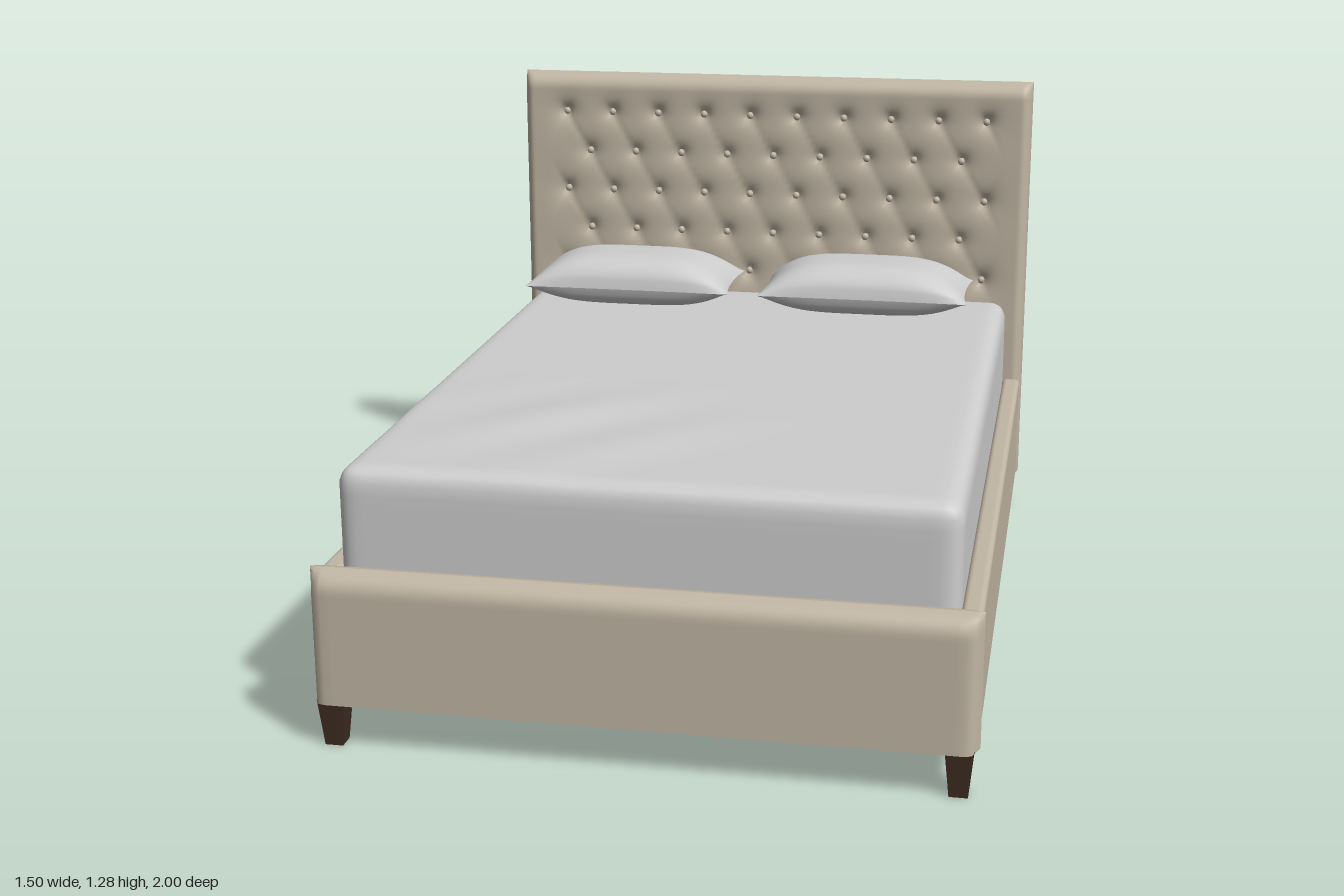
import * as THREE from 'three';
import { mergeVertices } from 'three/addons/utils/BufferGeometryUtils.js';
import { RoundedBoxGeometry } from 'three/addons/geometries/RoundedBoxGeometry.js';

const mat = (name, color, side = THREE.FrontSide) => {
  const m = new THREE.MeshStandardMaterial({ color, side });
  m.name = name;
  return m;
};

// Moves grid lines towards the edges so that rounded rims stay smooth
const warp = (t) => 0.4 * t + 0.6 * Math.sin((t * Math.PI) / 2);

// Moves every vertex by a rule and gives the result smooth normals
function shape(geometry, rule) {
  geometry.deleteAttribute('uv');
  geometry.deleteAttribute('normal');
  const g = mergeVertices(geometry);
  const p = g.attributes.position;
  const v = new THREE.Vector3();
  for (let i = 0; i < p.count; i++) {
    rule(v.fromBufferAttribute(p, i));
    p.setXYZ(i, v.x, v.y, v.z);
  }
  g.computeVertexNormals();
  return g;
}

// Button rows of the tufting
const PITCH = 0.138, ROW = 0.1165, TOP_ROW = 1.165;
const buttons = [];
for (let r = 0; r < 5; r++) {
  const n = r % 2 ? 9 : 10;
  for (let i = 0; i < n; i++) buttons.push([(i - (n - 1) / 2) * PITCH, TOP_ROW - r * ROW]);
}

// Depth of the dimples and the diagonal pleats between them
function tuftDepth(x, y) {
  let d = 0;
  for (const [bx, by] of buttons) d += 0.026 * Math.exp(-Math.hypot(x - bx, y - by) / 0.026);
  const s = (TOP_ROW - y) / ROW / 2;
  const line = (a) => Math.exp(-Math.abs(Math.sin(Math.PI * a)) / 0.2);
  const pleat = line(x / PITCH + s + 0.5) + line(x / PITCH - s + 0.5);
  const inside = THREE.MathUtils.smoothstep(0.68 - Math.abs(x), 0, 0.06)
    * THREE.MathUtils.smoothstep(y, 0.62, 0.7) * THREE.MathUtils.smoothstep(1.21 - y, 0, 0.05);
  return d + 0.004 * pleat * inside;
}

// One padded half of a board, rolled over at the top and sides
function boardFace(width, y0, y1, half, nx, ny, depth = () => 0) {
  const roll = (d, r) => (d >= r ? 1 : Math.sqrt(Math.max(0, 1 - ((r - d) / r) ** 2)));
  return shape(new THREE.PlaneGeometry(2, 2, nx, ny), (v) => {
    v.x = (warp(v.x) * width) / 2;
    v.y = y0 + ((warp(v.y) + 1) / 2) * (y1 - y0);
    v.z = half * roll(width / 2 - Math.abs(v.x), 0.03) * roll(y1 - v.y, 0.048) - depth(v.x, v.y);
  });
}

export function createModel() {
  const bed = new THREE.Group();
  bed.name = 'bed';
  const fabric = mat('beige upholstery', 0xc1b6a4);
  const linen = mat('light grey bedding', 0xcdcdcd);
  const wood = mat('dark wood', 0x402d23);
  const slatWood = mat('slat wood', 0x231a14);

  const add = (name, geometry, material, x = 0, y = 0, z = 0, parent = bed) => {
    const m = new THREE.Mesh(geometry, material);
    m.name = name;
    m.position.set(x, y, z);
    parent.add(m);
    return m;
  };
  const group = (name) => {
    const g = new THREE.Group();
    g.name = name;
    bed.add(g);
    return g;
  };

  // Headboard: tufted front, plain back, flat underside
  const head = group('headboard');
  add('tuftedFront', boardFace(1.5, 0.11, 1.28, 0.048, 170, 140, tuftDepth), fabric, 0, 0, -0.95, head);
  add('headboardBack', boardFace(1.5, 0.11, 1.28, 0.05, 40, 40), fabric, 0, 0, -0.95, head)
    .rotation.y = Math.PI;
  add('headboardBase', new THREE.BoxGeometry(1.45, 0.02, 0.09), fabric, 0, 0.12, -0.95, head);
  for (const [x, y] of buttons) {
    add('button', new THREE.SphereGeometry(0.011, 10, 8), fabric, x, y, -0.926, head);
  }

  // Footboard
  const foot = group('footboard');
  for (const turn of [0, Math.PI]) {
    add('footboardFace', boardFace(1.5, 0.11, 0.425, 0.048, 40, 30), fabric, 0, 0, 0.952, foot)
      .rotation.y = turn;
  }
  add('footboardBase', new THREE.BoxGeometry(1.45, 0.02, 0.09), fabric, 0, 0.12, 0.952, foot);

  // Side rails and tapered legs
  const legGeo = new THREE.CylinderGeometry(0.032 * Math.SQRT2, 0.021 * Math.SQRT2, 0.115, 4)
    .rotateY(Math.PI / 4).toNonIndexed();
  legGeo.computeVertexNormals();
  for (const side of [1, -1]) {
    add('sideRail', new RoundedBoxGeometry(0.05, 0.297, 1.82, 4, 0.014), fabric, side * 0.72, 0.2585, 0);
    for (const z of [0.953, -0.957]) add('leg', legGeo, wood, side * 0.707, 0.0575, z);
  }

  // Slatted base
  const base = group('slattedBase');
  add('basePanel', new THREE.BoxGeometry(1.4, 0.02, 1.81), slatWood, 0, 0.245, 0, base);
  const slats = 14, step = 1.8 / slats;
  for (let i = 0; i < slats; i++) {
    add('slat', new THREE.BoxGeometry(1.39, 0.025, step - 0.025), slatWood,
      0, 0.2225, -0.9 + (i + 0.5) * step, base);
  }

  // Mattress: rounded block with faint creases in the cover
  const half = new THREE.Vector3(0.697, 0.2, 0.912);
  const R = 0.045;
  const mattress = shape(new THREE.BoxGeometry(2, 2, 2, 44, 14, 56), (v) => {
    v.set(warp(v.x) * half.x, warp(v.y) * half.y, warp(v.z) * half.z);
    const inner = v.clone();
    for (const k of ['x', 'y', 'z']) {
      inner[k] = THREE.MathUtils.clamp(v[k], R - half[k], half[k] - R);
    }
    const out = v.clone().sub(inner);
    if (out.lengthSq() > 1e-10) v.copy(inner).addScaledVector(out.normalize(), R);
    if (v.y > half.y - 0.02) {
      const fade = Math.exp(-(((v.x + 0.25) / 0.3) ** 2) - ((v.z - 0.5) / 0.28) ** 2);
      v.y += fade * (0.007 + 0.006 * Math.sin(14 * (v.x + v.z)));
    }
  });
  add('mattress', mattress, linen, 0, 0.446, 0.008);

  // Pillows: two bulging faces meeting in a pinched seam
  const pillowFace = (height) => shape(new THREE.PlaneGeometry(2, 2, 36, 28), (v) => {
    const u = warp(v.x), w = warp(v.y);
    const bulge = Math.max(0, 1 - u ** 4) ** 0.9 * Math.max(0, 1 - w ** 4) ** 0.55;
    v.set(u * 0.297 * (1 - 0.04 * (1 - w * w)), w * 0.153 * (1 - 0.03 * (1 - u * u)), height * bulge);
  });
  const topFace = pillowFace(0.085).rotateX(-Math.PI / 2);
  const underFace = pillowFace(0.06).rotateX(Math.PI / 2);
  for (const [name, x] of [['rightPillow', -0.375], ['leftPillow', 0.302]]) {
    const pillow = group(name);
    pillow.position.set(x, 0.705, -0.737);
    add('pillowTop', topFace, linen, 0, 0, 0, pillow);
    add('pillowUnderside', underFace, linen, 0, 0, 0, pillow);
  }
  return bed;
}
